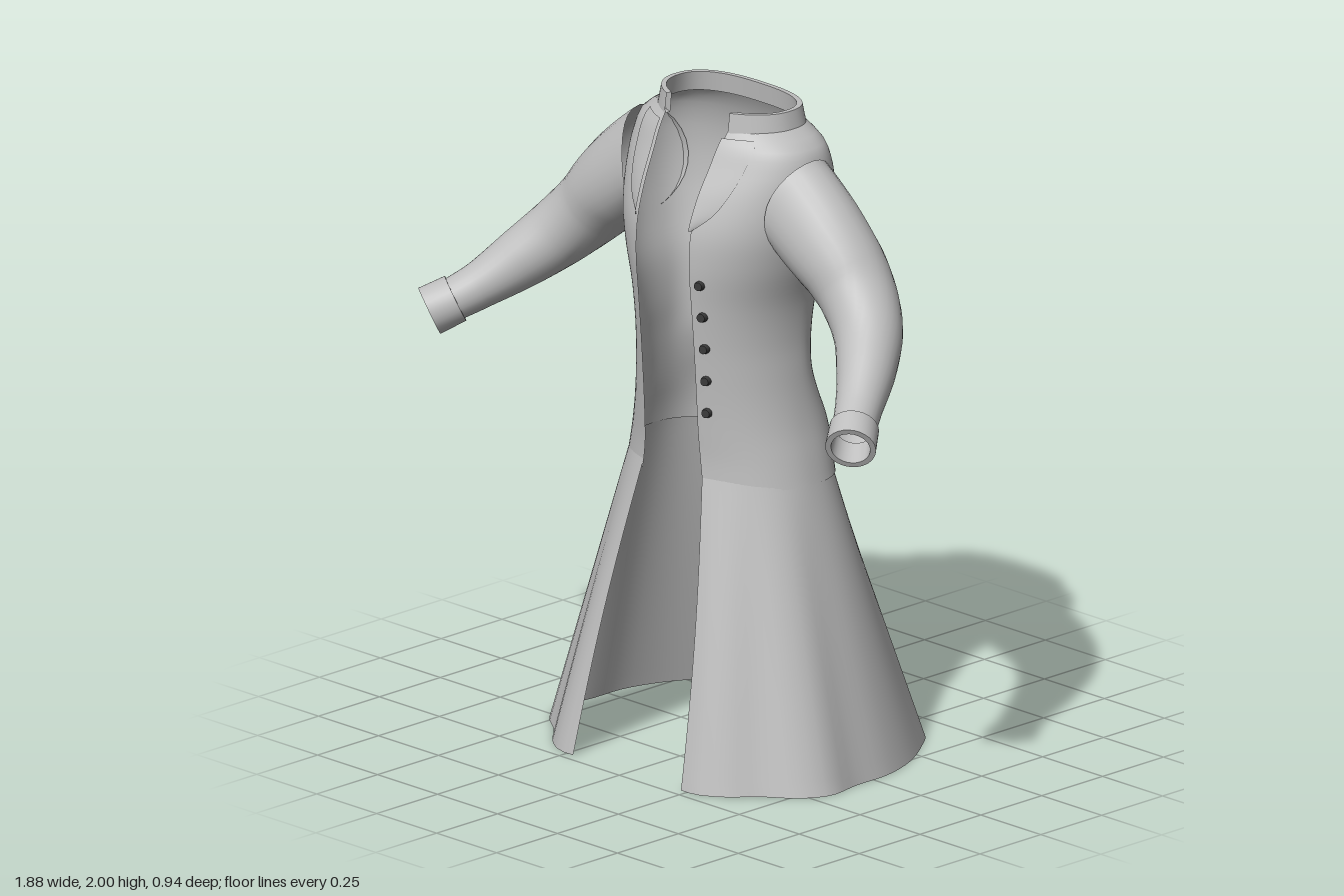
import * as THREE from 'three';
import { toCreasedNormals } from 'three/addons/utils/BufferGeometryUtils.js';

const V = (x, y, z) => new THREE.Vector3(x, y, z);

// Torso shape by height: y, half width, front z, back z, half front gap
const TORSO = [
  [0.87, 0.34, 0.28, -0.178, 0.125],
  [0.95, 0.322, 0.28, -0.178, 0.115],
  [1.03, 0.303, 0.285, -0.17, 0.111],
  [1.12, 0.288, 0.29, -0.132, 0.11],
  [1.2, 0.28, 0.295, -0.104, 0.11],
  [1.3, 0.275, 0.302, -0.108, 0.11],
  [1.42, 0.285, 0.312, -0.126, 0.11],
  [1.55, 0.32, 0.322, -0.146, 0.11],
  [1.65, 0.342, 0.316, -0.157, 0.11],
  [1.76, 0.352, 0.28, -0.158, 0.115],
  [1.85, 0.346, 0.235, -0.142, 0.122],
  [1.91, 0.318, 0.205, -0.12, 0.127],
  [1.95, 0.25, 0.178, -0.098, 0.13],
];
const spline = (rows) => new THREE.CubicInterpolant(rows.map((r) => r[0]), rows.flatMap((r) => r.slice(1)), rows[0].length - 1);
const torsoAt = spline(TORSO);
const COLS = 40;
const MID_Z = 0.04;

// Surface through rows of points; columns run anticlockwise seen from outside
function loft(rows, closed = false, flip = false) {
  const n = rows[0].length, index = [];
  for (let i = 0; i < rows.length - 1; i++) {
    for (let j = 0; j < (closed ? n : n - 1); j++) {
      const k = (j + 1) % n;
      const a = i * n + j, b = i * n + k, c = a + n, d = b + n;
      if (flip) index.push(a, c, b, b, c, d);
      else index.push(a, b, c, b, d, c);
    }
  }
  const g = new THREE.BufferGeometry().setFromPoints(rows.flat());
  g.setIndex(index);
  g.computeVertexNormals();
  return g;
}

// Mirrors half a section (front edge to centre back) into the full section
function fullSection(half) {
  const pts = new THREE.CatmullRomCurve3(half).getSpacedPoints(COLS);
  return pts.concat(pts.slice(0, -1).reverse().map((p) => V(-p.x, p.y, p.z)));
}

// Horizontal section open at the front, boxier at the back
function section(y, [w, zf, zb, gap], grow = 0) {
  const a0 = Math.asin(gap / w), half = [];
  for (let i = 0; i <= 30; i++) {
    const a = a0 + (Math.PI - a0) * i / 30;
    const s = Math.max(0, Math.sin(a)), c = Math.cos(a);
    half.push(c > 0
      ? V((w + grow * s) * s, y, MID_Z + (zf + grow - MID_Z) * c / Math.cos(a0))
      : V((w + grow) * Math.pow(s, 0.78), y, MID_Z + (zb - grow - MID_Z) * Math.pow(-c, 0.78)));
  }
  half[30].x = 0;
  return fullSection(half);
}

function frontZ(x, y) {
  const [w, zf, , gap] = torsoAt.evaluate(y);
  return MID_Z + (zf - MID_Z) * Math.sqrt(1 - (x / w) ** 2) / Math.sqrt(1 - (gap / w) ** 2);
}

// Ring around a point, facing along d
function ring(p, d, ry, rz, bend = 0, n = 28) {
  const a = V(0, 1, 0).cross(d).normalize(), b = V().crossVectors(d, a).normalize();
  return Array.from({ length: n }, (_, i) => {
    const t = i / n * Math.PI * 2;
    const q = p.clone().addScaledVector(a, rz * Math.cos(t)).addScaledVector(b, ry * Math.sin(t));
    q.x -= bend * Math.cos(t) ** 2;
    return q;
  });
}

const mirrored = (rows, side) => rows.map((r) => r.map((p) => V(p.x * side, p.y, p.z)));

export function createModel() {
  const coat = new THREE.Group();
  coat.name = 'coat';
  const cloth = new THREE.MeshStandardMaterial({ color: 0xbebebe, side: THREE.DoubleSide });
  cloth.name = 'grey cloth';
  const dark = new THREE.MeshStandardMaterial({ color: 0x3a3a3a });
  dark.name = 'dark button';
  const add = (name, geometry, material = cloth) => {
    const mesh = new THREE.Mesh(geometry, material);
    mesh.name = name;
    coat.add(mesh);
    return mesh;
  };

  // Torso
  const torso = [];
  for (let i = 0; i <= 44; i++) {
    const y = 0.87 + 1.08 * i / 44;
    torso.push(section(y, [...torsoAt.evaluate(y)]));
  }
  add('torso', loft(torso));

  // Flared skirt, waist section blended into a wavy hem
  const hem = fullSection([
    [0.225, 0.468], [0.285, 0.465], [0.36, 0.42], [0.43, 0.345], [0.52, 0.275], [0.567, 0.19],
    [0.553, 0.07], [0.55, -0.06], [0.51, -0.19], [0.43, -0.32], [0.36, -0.4], [0.28, -0.412],
    [0.18, -0.402], [0.09, -0.44], [0, -0.475],
  ].map(([x, z]) => V(x, 0, z)));
  const waist = section(0.9, [0.33, 0.279, -0.162, 0.121]);
  const skirt = [];
  for (let i = 0; i <= 20; i++) {
    const t = i / 20;
    skirt.push(hem.map((p, j) => {
      const q = p.clone().lerp(waist[j], t);
      // front edges bow slightly outwards
      const edge = Math.max(0, 1 - Math.min(j, hem.length - 1 - j) / 8);
      q.x += Math.sign(q.x) * 0.014 * edge * Math.sin(Math.PI * t);
      return q;
    }));
  }
  add('skirt', loft(skirt));

  // Standing collar with thickness
  const base = [0.25, 0.178, -0.098, 0.13], top = [0.238, 0.172, -0.092, 0.13];
  const band = [
    section(1.94, base, 0.006), section(2.0, top, 0.004),
    section(2.0, top, -0.012), section(1.94, base, -0.012),
  ];
  add('collar', toCreasedNormals(loft([...band, band[0]]), 0.7));

  // Lapels: outer edge x by height
  const lapelEdge = spline([[1.665, 0.115], [1.71, 0.165], [1.78, 0.203], [1.87, 0.226], [1.93, 0.228]]);
  const lapel = [];
  for (let i = 0; i <= 16; i++) {
    const y = 1.665 + 0.265 * i / 16;
    const outer = lapelEdge.evaluate(y)[0], inner = torsoAt.evaluate(y)[3];
    lapel.push(Array.from({ length: 9 }, (_, j) => {
      const x = inner + (outer - inner) * j / 8;
      return V(x, y, frontZ(x, y) + 0.014 - 0.009 * j / 8);
    }));
  }

  // Sleeve: path points and matching radii (vertical, depth)
  const path = new THREE.CatmullRomCurve3([
    V(0.345, 1.72, 0.06), V(0.44, 1.635, 0.062), V(0.55, 1.525, 0.068), V(0.64, 1.435, 0.11),
    V(0.72, 1.35, 0.195), V(0.79, 1.275, 0.295), V(0.835, 1.235, 0.36),
  ]);
  const radii = new THREE.CatmullRomCurve3([
    V(0.162, 0.135, 0), V(0.138, 0.13, 0), V(0.116, 0.117, 0), V(0.104, 0.104, 0),
    V(0.09, 0.088, 0), V(0.07, 0.07, 0), V(0.064, 0.064, 0),
  ]);
  const sleeve = [];
  for (let i = 0; i <= 36; i++) {
    const t = i / 36, near = Math.max(0, 1 - 4 * t), r = radii.getPoint(t);
    const d = path.getTangent(t).lerp(V(1, -0.1, 0), near).normalize();
    sleeve.push(ring(path.getPoint(t), d, r.x, r.y, 0.05 * near));
  }

  // Cuff: turned band with an inner lining
  const cuffDir = V(0.55, -0.42, 0.72).normalize(), cuffEnd = V(0.878, 1.202, 0.415);
  const cuff = [[-0.085, 0.06], [-0.085, 0.073], [0, 0.075], [0, 0.058], [-0.08, 0.054]]
    .map(([s, r]) => ring(cuffEnd.clone().addScaledVector(cuffDir, s), cuffDir, r, r));

  for (const side of [1, -1]) {
    const label = side > 0 ? 'left' : 'right', flip = side < 0;
    add(label + 'Lapel', loft(mirrored(lapel, side), false, flip));
    add(label + 'Sleeve', loft(mirrored(sleeve, side), true, flip));
    add(label + 'Cuff', toCreasedNormals(loft(mirrored(cuff, side), true, flip), 0.7));
  }

  // Buttons down the left front
  for (let i = 0; i < 5; i++) {
    const y = 1.1 + 0.1 * i;
    const button = add('button' + (i + 1), new THREE.CylinderGeometry(0.013, 0.016, 0.016, 14), dark);
    button.rotation.set(Math.PI / 2, 0, -0.3, 'YXZ');
    button.rotation.y = 0.3;
    button.rotation.z = 0;
    button.position.set(0.14, y, frontZ(0.14, y) + 0.004);
  }
  return coat;
}
